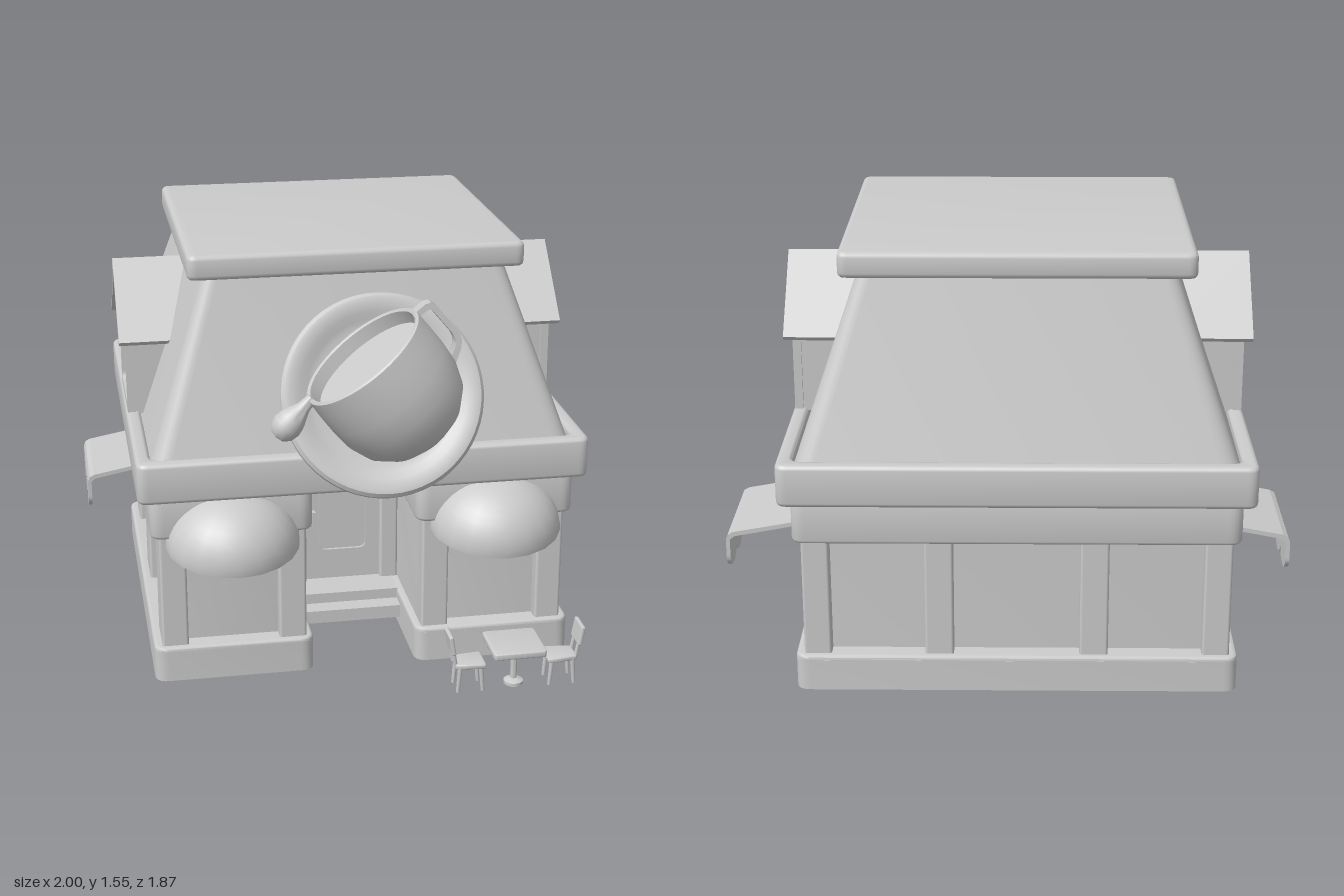
import * as THREE from 'three';
import { toCreasedNormals } from 'three/addons/utils/BufferGeometryUtils.js';
import { RoundedBoxGeometry } from 'three/addons/geometries/RoundedBoxGeometry.js';

const material = new THREE.MeshStandardMaterial({ color: 0xcccccc, side: THREE.DoubleSide });

function add(parent, name, geometry, x = 0, y = 0, z = 0) {
  const mesh = new THREE.Mesh(geometry, material);
  mesh.name = name;
  mesh.position.set(x, y, z);
  parent.add(mesh);
  return mesh;
}

function group(parent, name, x = 0, y = 0, z = 0) {
  const g = new THREE.Group();
  g.name = name;
  g.position.set(x, y, z);
  parent.add(g);
  return g;
}

const box = (parent, name, w, h, d, x, y, z) => add(parent, name, new THREE.BoxGeometry(w, h, d), x, y, z);
const lathe = (points, segments = 40) =>
  toCreasedNormals(new THREE.LatheGeometry(points.map(p => new THREE.Vector2(...p)), segments), 0.6);
const polygon = points => new THREE.Shape(points.map(p => new THREE.Vector2(...p)));

// Closed polygon with every corner rounded by r
function roundedPolygon(points, r) {
  const shape = new THREE.Shape();
  const v = points.map(p => new THREE.Vector2(...p));
  v.forEach((p, i) => {
    const before = v[(i + v.length - 1) % v.length], after = v[(i + 1) % v.length];
    const a = before.clone().sub(p).setLength(r).add(p);
    const b = after.clone().sub(p).setLength(r).add(p);
    if (i) shape.lineTo(a.x, a.y); else shape.moveTo(a.x, a.y);
    shape.quadraticCurveTo(p.x, p.y, b.x, b.y);
  });
  shape.closePath();
  return shape;
}

const rect = (hx, hy) => [[-hx, -hy], [hx, -hy], [hx, hy], [-hx, hy]];

// Floor plan with an entrance notch in the front edge
const notched = (hx, hz, n, d) =>
  [[-hx, -hz], [-n, -hz], [-n, d - hz], [n, d - hz], [n, -hz], [hx, -hz], [hx, hz], [-hx, hz]];

// Plan extruded upwards from y = 0 with softened edges and an optional opening
function slab(points, height, r, bevel = 0.012, opening = null) {
  const shape = roundedPolygon(points, r);
  if (opening) shape.holes.push(roundedPolygon(opening, r));
  const geometry = new THREE.ExtrudeGeometry(shape, {
    depth: height - 2 * bevel, curveSegments: 6, bevelEnabled: bevel > 0,
    bevelSize: bevel, bevelThickness: bevel, bevelOffset: -bevel, bevelSegments: 3
  });
  geometry.translate(0, 0, bevel).rotateX(-Math.PI / 2);
  return toCreasedNormals(geometry, 0.7);
}

const extrude = (shape, depth) =>
  new THREE.ExtrudeGeometry(shape, { depth, bevelEnabled: false, curveSegments: 10 });

// Plate in the xy plane with a rounded opening
function frame(outer, outerRadius, inner, innerRadius, depth) {
  const shape = roundedPolygon(outer, outerRadius);
  shape.holes.push(roundedPolygon(inner, innerRadius));
  return extrude(shape, depth);
}

function addWalls(house) {
  // Plinth, open underneath
  const plan = notched(0.775, 0.715, 0.19, 0.6);
  add(house, 'baseSkirt', slab(plan, 0.115, 0.05, 0, notched(0.767, 0.707, 0.198, 0.6)));
  add(house, 'baseTop', slab(plan, 0.026, 0.05), 0, 0.104);
  add(house, 'walls', slab(notched(0.7, 0.64, 0.215, 0.45), 0.46, 0.01, 0), 0, 0.12);
  add(house, 'frieze', slab(notched(0.775, 0.715, 0.19, 0.42), 0.16, 0.05), 0, 0.56);
  add(house, 'cornice', slab(rect(0.817, 0.752), 0.15, 0.04, 0.015, rect(0.762, 0.695)), 0, 0.71);
  box(house, 'lowerStep', 0.39, 0.05, 0.31, 0, 0.065, 0.265);
  box(house, 'upperStep', 0.39, 0.04, 0.24, 0, 0.11, 0.23);

  // Pillars round the walls
  const pillar = (w, d, x, z) =>
    add(house, 'pillar', new RoundedBoxGeometry(w, 0.46, d, 2, 0.01), x, 0.345, z);
  for (const s of [-1, 1]) {
    for (const z of [-0.5975, 0, 0.5975]) pillar(0.096, 0.185, s * 0.697, z);
    pillar(0.1, 0.1, s * 0.265, 0.64);
    pillar(0.1, 0.1, s * 0.27, -0.64);
    pillar(0.07, 0.05, s * 0.18, 0.21);
  }

  // Door
  box(house, 'door', 0.3, 0.43, 0.03, 0, 0.345, 0.195);
  add(house, 'doorPanel', frame(rect(0.095, 0.135), 0.03, rect(0.089, 0.129), 0.027, 0.014), 0, 0.385, 0.207);
  box(house, 'doorHandle', 0.012, 0.06, 0.025, -0.115, 0.39, 0.22);
}

function addRoof(house) {
  const roof = slab(rect(0.788, 0.713), 0.72, 0.07, 0);
  const p = roof.attributes.position;
  for (let i = 0; i < p.count; i++) {
    const t = p.getY(i) / 0.72;
    p.setX(i, p.getX(i) * (1 - 0.315 * t));
    p.setZ(i, p.getZ(i) * (1 - 0.279 * t));
  }
  add(house, 'roof', toCreasedNormals(roof, 0.7), 0, 0.75);
  add(house, 'roofCap', slab(rect(0.604, 0.565), 0.09, 0.035, 0.018), 0, 1.46);
}

// Gabled dormer facing +x, turned for the other side
function addDormer(house, turn) {
  const dormer = group(house, 'dormer');
  dormer.rotation.y = turn;
  const face = group(dormer, 'dormerFace');
  face.rotation.y = Math.PI / 2;
  const gable = polygon([[-0.175, 0.85], [0.175, 0.85], [0.175, 1.2], [0, 1.375], [-0.175, 1.2]]);
  add(face, 'dormerWall', extrude(gable, 0.28), 0, 0, 0.51);
  const eaves = polygon([[0, 1.408], [-0.25, 1.153], [-0.235, 1.137], [0, 1.374], [0.235, 1.137], [0.25, 1.153]]);
  add(face, 'dormerRoof', extrude(eaves, 0.305), 0, 0, 0.53);
  add(face, 'dormerWindowFrame', frame(rect(0.185, 0.172), 0.005, rect(0.15, 0.143), 0.03, 0.03), 0, 1.028, 0.78);
}

// Side awning with a scalloped valance
function addSideAwning(root, turn) {
  const awning = group(root, 'sideAwning', 0, 0, -0.48);
  awning.rotation.y = turn;
  const profile = polygon([[0.69, 0.56], [0.975, 0.508], [0.993, 0.498], [1, 0.48], [1, 0.42],
    [0.986, 0.42], [0.986, 0.478], [0.97, 0.492], [0.69, 0.545]]);
  add(awning, 'awningCloth', extrude(profile, 0.41), 0, 0, -0.205);
  const valance = new THREE.Shape();
  valance.moveTo(-0.205, 0.43);
  valance.lineTo(-0.205, 0.415);
  for (let i = -1; i < 2; i++)
    valance.absellipse(i * 0.1367, 0.415, 0.0683, 0.053, Math.PI, Math.PI * 2);
  valance.lineTo(0.205, 0.43);
  add(awning, 'scallops', extrude(valance, 0.014).rotateY(Math.PI / 2), 0.986);
}

function addCup(root) {
  // Saucer leaning against the roof
  const saucer = add(root, 'saucer', lathe([[0, -0.026], [0.335, -0.026], [0.355, -0.02], [0.366, -0.003],
    [0.364, 0.012], [0.352, 0.024], [0.335, 0.026], [0.3, 0.018], [0.275, 0.006], [0.25, -0.002], [0, -0.002]], 56),
  0.03, 1.05, 0.505);
  saucer.rotation.x = 1.162;

  // Tipped cup, origin at the centre of its rim
  const outer = [[0, -0.395], [0.09, -0.388], [0.155, -0.355], [0.21, -0.295], [0.236, -0.22], [0.242, -0.14],
    [0.241, -0.06], [0.238, 0], [0.23, 0.005], [0.221, 0], [0.217, -0.05], [0, -0.05]];
  const cup = add(root, 'cup', lathe(outer, 48), -0.08, 1.262, 0.696);
  cup.rotation.z = Math.atan2(0.613, 0.79);

  // Strap handle, slightly twisted
  const strap = polygon([[0.1, 1.375], [0.15, 1.415], [0.17, 1.42], [0.19, 1.408], [0.265, 1.315], [0.278, 1.285],
    [0.275, 1.255], [0.255, 1.2], [0.235, 1.21], [0.256, 1.265], [0.256, 1.285], [0.245, 1.308], [0.18, 1.386],
    [0.168, 1.396], [0.155, 1.392], [0.115, 1.36]]);
  const handle = toCreasedNormals(extrude(strap, 0.06).translate(0, -1.3, -0.03), 0.7);
  add(root, 'cupHandle', handle, 0, 1.3, 0.622).rotation.x = -0.09;

  // Drop falling from the rim
  const drop = add(root, 'drop', lathe([[0, -0.055], [0.028, -0.048], [0.046, -0.028], [0.053, 0], [0.048, 0.03],
    [0.035, 0.06], [0.024, 0.085], [0.018, 0.13], [0, 0.135]], 24), -0.342, 1.032, 0.71);
  drop.rotation.z = -0.75;
}

// Chair facing +x
function addChair(root, x, turn) {
  const chair = group(root, 'chair', x, 0, 0.755);
  chair.rotation.y = turn;
  const seat = [[-0.055, -0.043], [0.055, -0.055], [0.055, 0.055], [-0.055, 0.043]];
  add(chair, 'chairSeat', slab(seat, 0.018, 0.012, 0.004), 0, 0.092);
  for (const s of [-1, 1]) {
    for (const lx of [-0.042, 0.042]) {
      const leg = add(chair, 'chairLeg', new THREE.CylinderGeometry(0.009, 0.007, 0.1, 8), lx, 0.05, s * 0.038);
      leg.rotation.z = Math.sign(lx) * 0.08;
    }
    const post = add(chair, 'backPost', new THREE.CylinderGeometry(0.007, 0.007, 0.1, 8), -0.06, 0.145, s * 0.028);
    post.rotation.z = 0.17;
  }
  const back = add(chair, 'chairBack', new RoundedBoxGeometry(0.016, 0.075, 0.095, 2, 0.006), -0.068, 0.187, 0);
  back.rotation.z = 0.17;
}

export function createModel() {
  const root = new THREE.Group();
  root.name = 'cafe';

  const house = group(root, 'house', -0.034, 0, -0.184);
  addWalls(house);
  addRoof(house);
  for (const turn of [0, Math.PI]) {
    addDormer(house, turn);
    addSideAwning(root, turn);
  }

  // Domed awnings over the front windows
  for (const x of [-0.48, 0.485]) {
    const dome = add(house, 'domeAwning',
      new THREE.SphereGeometry(1, 10, 10, 0, Math.PI, 0, Math.PI / 2), x, 0.523, 0.685);
    dome.scale.set(0.242, 0.195, 0.228);
    dome.rotation.x = 0.18;
  }

  addCup(root);

  // Table between two chairs
  const table = group(root, 'table', 0.472, 0, 0.755);
  add(table, 'tableTop', slab(rect(0.097, 0.097), 0.024, 0.015, 0.004), 0, 0.143);
  add(table, 'tableStand', lathe([[0, 0], [0.036, 0], [0.036, 0.012], [0.012, 0.022], [0.012, 0.145], [0, 0.145]], 16));
  addChair(root, 0.302, 0);
  addChair(root, 0.642, Math.PI);
  return root;
}
